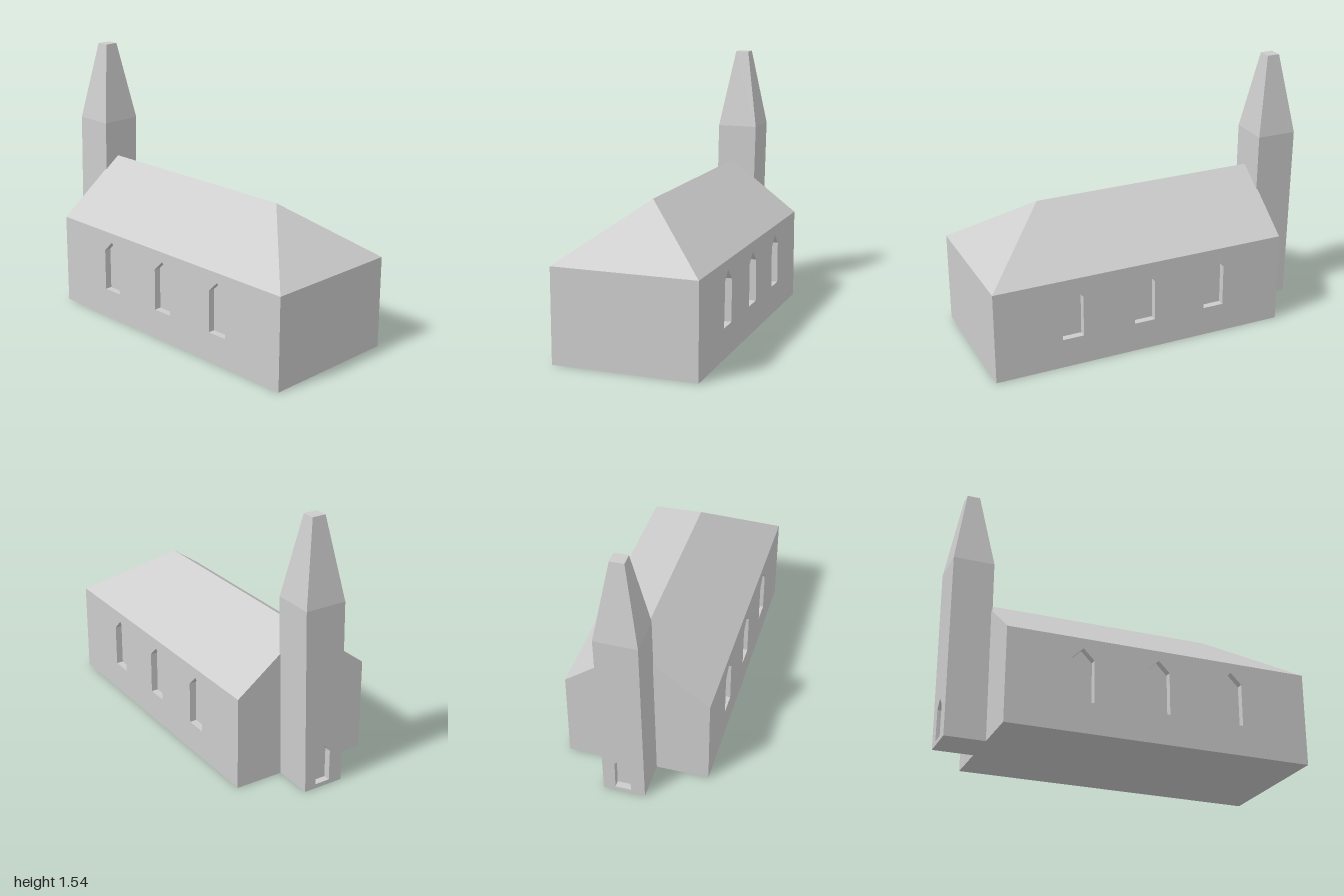
import * as THREE from 'three';
import { ConvexGeometry } from 'three/addons/geometries/ConvexGeometry.js';

const polygon = (points, Type = THREE.Shape) =>
  new Type(points.map(([x, y]) => new THREE.Vector2(x, y)));

// Pointed opening: centre, half width, sill, springing and apex heights
const lancet = (c, w, sill, spring, apex) => polygon(
  [[c - w, sill], [c - w, spring], [c, apex], [c + w, spring], [c + w, sill]], THREE.Path);

const extrude = (shape, depth) => new THREE.ExtrudeGeometry(shape, { depth, bevelEnabled: false });

const hull = (points) => new ConvexGeometry(points.map((p) => new THREE.Vector3(...p)));

export function createModel() {
  const model = new THREE.Group();
  const stone = new THREE.MeshStandardMaterial({ color: 0xcccccc });
  stone.name = 'paleGreyStone';

  const add = (name, geometry, x = 0, y = 0, z = 0) => {
    const mesh = new THREE.Mesh(geometry, stone);
    mesh.name = name;
    mesh.position.set(x, y, z);
    model.add(mesh);
    return mesh;
  };

  const west = -0.77, east = 1, eaves = 0.54, ridge = 0.85, halfDepth = 0.415, recess = 0.04;

  // Nave core, whose long faces close the window recesses
  add('naveCore', new THREE.BoxGeometry(east - west, eaves, 2 * (halfDepth - recess)),
    (east + west) / 2, eaves / 2, 0);

  // Long walls pierced by three pointed windows each
  const wall = polygon([[west, 0], [east, 0], [east, eaves], [west, eaves]]);
  for (const x of [-0.34, 0.1, 0.54]) wall.holes.push(lancet(x, 0.063, 0.175, 0.42, 0.483));
  add('frontWall', extrude(wall, recess), 0, 0, halfDepth - recess);
  add('backWall', extrude(wall, recess), 0, 0, -halfDepth);

  // Roof: upright gable at the tower, hipped at the far end
  add('roof', hull([
    [west, eaves, halfDepth], [west, eaves, -halfDepth],
    [east, eaves, halfDepth], [east, eaves, -halfDepth],
    [west, ridge, 0], [0.58, ridge, 0],
  ]));

  // Slightly leaning tower, drawn in z and y, then extruded towards -x
  const towerHeight = 1.07, towerEast = -0.763;
  const outline = [[-0.13, 0], [0.11, 0], [0.09, towerHeight], [-0.155, towerHeight]];
  const doorWall = polygon(outline);
  doorWall.holes.push(lancet(-0.017, 0.045, 0.025, 0.205, 0.255));
  add('towerCore', extrude(polygon(outline), 1 + towerEast - recess), towerEast)
    .rotation.y = -Math.PI / 2;
  add('towerDoorWall', extrude(doorWall, recess), -1 + recess).rotation.y = -Math.PI / 2;

  // Blunt four-sided spire
  const spire = [];
  for (const x of [-1, towerEast]) for (const z of [-0.155, 0.09]) spire.push([x, towerHeight, z]);
  for (const x of [-0.92, -0.845]) for (const z of [-0.075, 0.005]) spire.push([x, 1.537, z]);
  add('spire', hull(spire));

  return model;
}
